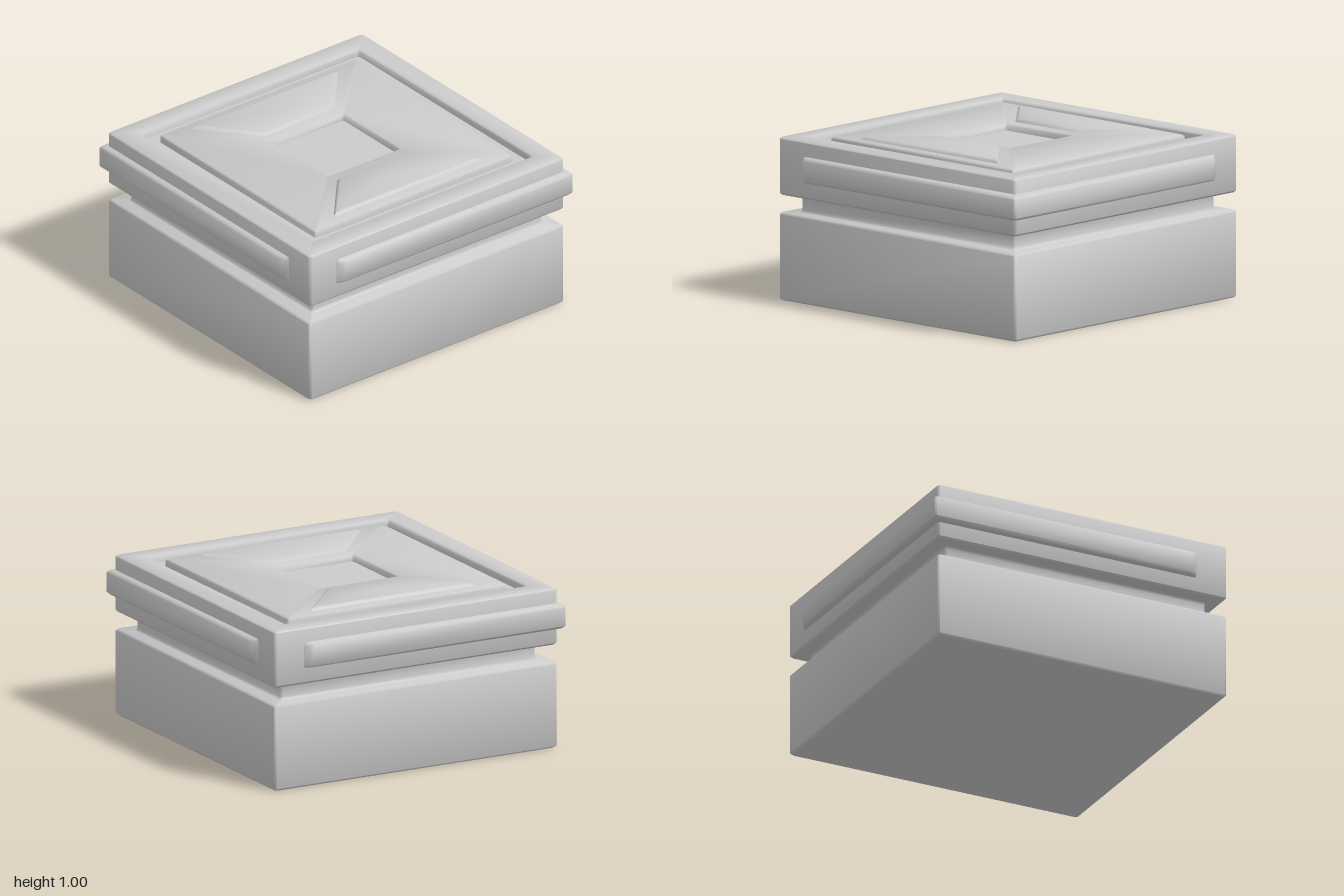
import * as THREE from 'three';
import { toCreasedNormals } from 'three/addons/utils/BufferGeometryUtils.js';

const material = new THREE.MeshStandardMaterial({ color: 0xcccccc });

// Skin a grid of points; rows run upwards/inwards, points run counter-clockwise from above
function skin(name, rows, closed = true) {
  const positions = [];
  const triangle = (a, b, c) => {
    if (new THREE.Triangle(a, b, c).getArea() > 1e-8) {
      for (const p of [a, b, c]) positions.push(p.x, p.y, p.z);
    }
  };
  for (let i = 0; i < rows.length - 1; i++) {
    const n = rows[i].length;
    for (let j = 0; j < (closed ? n : n - 1); j++) {
      const k = (j + 1) % n;
      triangle(rows[i][j], rows[i][k], rows[i + 1][k]);
      triangle(rows[i][j], rows[i + 1][k], rows[i + 1][j]);
    }
  }
  const geometry = new THREE.BufferGeometry();
  geometry.setAttribute('position', new THREE.Float32BufferAttribute(positions, 3));
  const mesh = new THREE.Mesh(toCreasedNormals(geometry, Math.PI / 3), material);
  mesh.name = name;
  return mesh;
}

// Square ring with slightly clipped corners
function squareRing([half, y]) {
  const c = Math.min(0.012, half);
  const ring = [];
  for (let q = 0; q < 4; q++) {
    for (const [x, z] of [[half, half - c], [half, c - half]]) {
      const p = new THREE.Vector3(x, y, z);
      ring.push(p.applyAxisAngle(new THREE.Vector3(0, 1, 0), q * Math.PI / 2));
    }
  }
  return ring;
}

const squareLoft = (name, profile) => skin(name, profile.map(squareRing));

// Raised band running along two sides and around their shared corner
function cornerBand(name) {
  const section = [[0, 0.73], [0.03, 0.737], [0.045, 0.752], [0.045, 0.868], [0.03, 0.883], [0, 0.89]];
  const rows = section.map(([d, y]) => {
    const o = 0.955 + d;
    return [[-0.77, 0.95], [-0.74, 0.955 + d * 0.7], [-0.71, o], [o - 0.012, o],
      [o, o - 0.012], [o, -0.71], [0.955 + d * 0.7, -0.74], [0.95, -0.77]]
      .map(([x, z]) => new THREE.Vector3(x, y, z));
  });
  return skin(name, rows, false);
}

// Trapezoid plate with bevelled edges, its wide side facing outwards
function trapezoidPlate(name) {
  const levels = [
    [0.56, 0.68, 0.265, 0.34, 0.975],
    [0.545, 0.672, 0.26, 0.348, 0.99],
    [0.52, 0.66, 0.25, 0.36, 1.0],
    [0, 0.51, 0, 0.51, 1.0],
  ];
  return skin(name, levels.map(([wide, zOut, narrow, zIn, y]) => [
    new THREE.Vector3(-wide, y, zOut), new THREE.Vector3(wide, y, zOut),
    new THREE.Vector3(narrow, y, zIn), new THREE.Vector3(-narrow, y, zIn),
  ]));
}

export function createModel() {
  const group = new THREE.Group();
  group.name = 'squareBlock';

  // Lower block
  group.add(squareLoft('base', [
    [0, 0], [0.948, 0], [0.96, 0.012], [0.96, 0.515], [0.948, 0.527], [0, 0.527],
  ]));

  // Recessed neck with small fillets
  group.add(squareLoft('neck', [
    [0.885, 0.525], [0.87, 0.53], [0.865, 0.545], [0.865, 0.615], [0.87, 0.63], [0.885, 0.637],
  ]));

  // Upper block with a raised rim and a sunken channel
  group.add(squareLoft('cap', [
    [0, 0.633], [0.948, 0.633], [0.96, 0.645], [0.96, 0.97], [0.95, 0.98],
    [0.832, 0.98], [0.822, 0.97], [0.818, 0.935], [0.73, 0.935],
  ]));

  // Central panel with a square recess
  group.add(squareLoft('topPanel', [
    [0.745, 0.93], [0.743, 0.97], [0.733, 0.98],
    [0.275, 0.98], [0.267, 0.972], [0.262, 0.94], [0, 0.94],
  ]));

  // Opposite pairs, repeated by a half turn
  for (const [i, side] of ['front', 'back'].entries()) {
    const band = cornerBand(side + 'CornerBand');
    const plate = trapezoidPlate(side + 'TrapezoidPlate');
    band.rotation.y = plate.rotation.y = i * Math.PI;
    group.add(band, plate);
  }
  return group;
}
